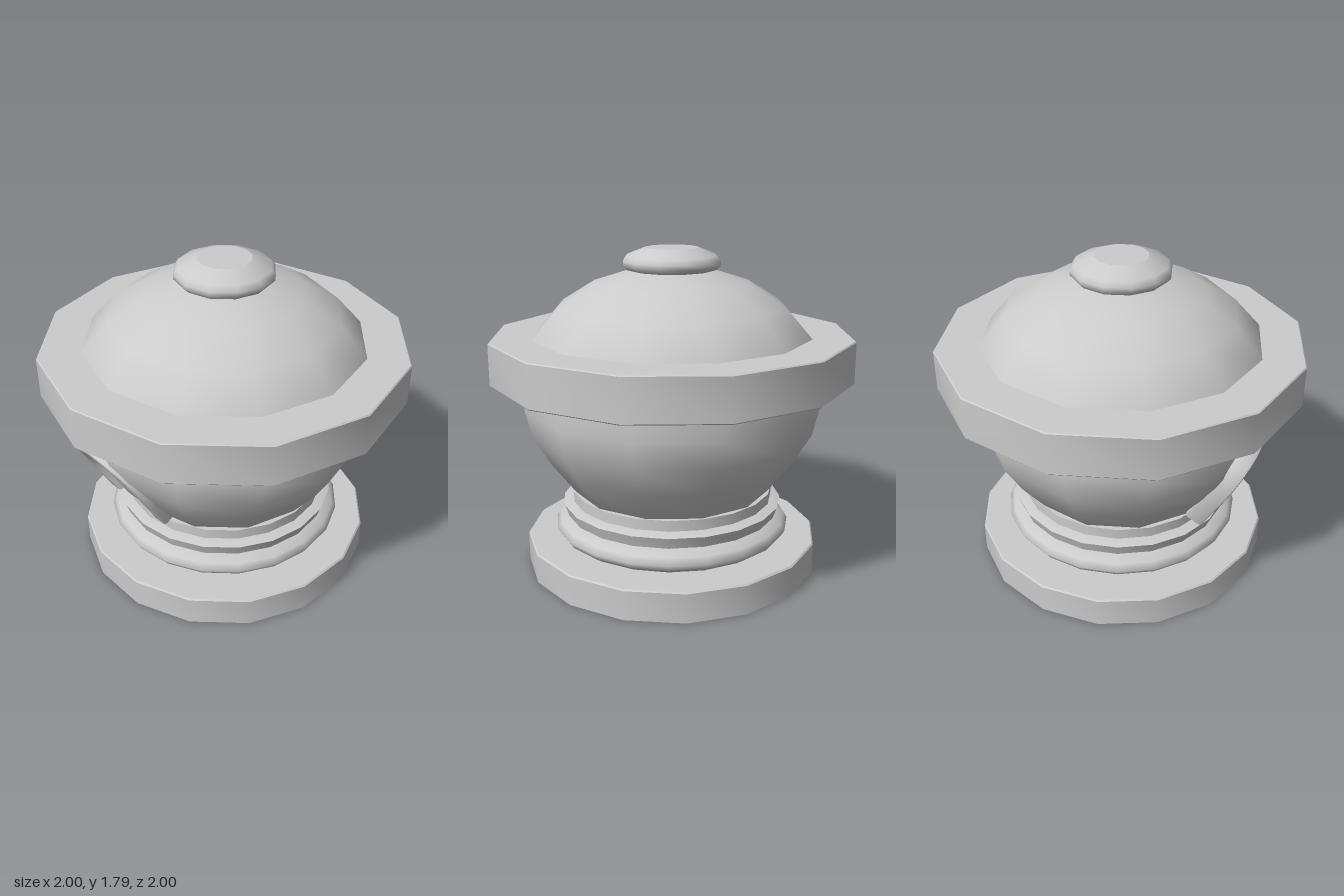
import * as THREE from 'three';
import { toCreasedNormals } from 'three/addons/utils/BufferGeometryUtils.js';

const material = new THREE.MeshStandardMaterial({ color: 0xcccccc });
const shellMaterial = new THREE.MeshStandardMaterial({ color: 0xcccccc, side: THREE.DoubleSide });

// Turned part from [radius, height] pairs, listed bottom to top
function turned(name, sides, crease, profile, mat = material) {
  const points = profile.map(([r, y]) => new THREE.Vector2(r, y));
  const geometry = toCreasedNormals(new THREE.LatheGeometry(points, sides), crease);
  const mesh = new THREE.Mesh(geometry, mat);
  mesh.name = name;
  return mesh;
}

// Smooth curve through [x, y] pairs
function smooth(pairs, count) {
  return new THREE.SplineCurve(pairs.map(([x, y]) => new THREE.Vector2(x, y))).getPoints(count);
}

export function createModel() {
  const group = new THREE.Group();
  group.name = 'domedOven';

  // Hollow plinth, open underneath, turned half a side
  const plinth = turned('plinth', 16, 0.7, [
    [0.828, 0], [0.828, 0.162], [0.82, 0.17], [0, 0.17],
  ], shellMaterial);
  plinth.rotation.y = Math.PI / 16;
  group.add(plinth);

  // Stepped foot
  group.add(turned('lowerMoulding', 20, 1.3, [
    [0.55, 0.172], [0.605, 0.172], [0.645, 0.198], [0.669, 0.235], [0.645, 0.27], [0.575, 0.304], [0.5, 0.304],
  ]));
  group.add(turned('upperMoulding', 20, 0.6, [
    [0.5, 0.304], [0.6, 0.304], [0.622, 0.368], [0.57, 0.386], [0.5, 0.386],
  ]));
  group.add(turned('neck', 20, 0.6, [[0.57, 0.3], [0.57, 0.445], [0.4, 0.445]]));

  // Rounded body continuing through the rim into the dome
  group.add(turned('body', 12, 0.7, [
    [0.46, 0.34], [0.557, 0.444], [0.69, 0.62], [0.79, 0.79], [0.824, 0.942], [0.814, 1.08],
    [0.81, 1.2], [0.77, 1.32], [0.626, 1.483], [0.44, 1.597], [0.22, 1.668], [0, 1.69],
  ]));
  group.add(turned('rim', 12, 0.7, [
    [0.6, 1.085], [0.994, 1.085], [1, 1.091], [1, 1.314], [0.994, 1.32], [0.6, 1.32],
  ]));

  // Rounded knob with a flat top
  group.add(turned('knob', 12, 1.3, [
    [0.2, 1.66], [0.248, 1.672], [0.268, 1.692], [0.27, 1.718], [0.25, 1.745], [0.145, 1.787],
  ]));
  group.add(turned('knobTop', 12, 0.5, [[0.145, 1.787], [0, 1.787]]));

  // Door frame: an uneven bevelled arch leaning out along the body and sunk into it
  const outer = smooth([
    [-0.33, 0], [-0.36, 0.15], [-0.376, 0.28], [-0.358, 0.41], [-0.27, 0.512], [-0.14, 0.54],
    [-0.01, 0.512], [0.095, 0.41], [0.14, 0.28], [0.15, 0.16], [0.145, 0],
  ], 24);
  const inner = smooth([
    [0.06, 0], [0.064, 0.225], [0.045, 0.37], [-0.02, 0.448], [-0.14, 0.468],
    [-0.23, 0.445], [-0.295, 0.37], [-0.31, 0.26], [-0.29, 0.13], [-0.255, 0],
  ], 22);
  const arch = new THREE.ExtrudeGeometry(new THREE.Shape([...outer, ...inner]), {
    depth: 0.075, bevelThickness: 0.015, bevelSize: 0.012, bevelOffset: -0.012, bevelSegments: 2,
  });
  arch.translate(0, 0, -0.047);
  const frame = new THREE.Mesh(toCreasedNormals(arch, 0.7), material);
  frame.name = 'doorFrame';
  frame.position.set(0, 0.445, 0.54);
  frame.rotation.x = 0.514;
  group.add(frame);

  return group;
}
